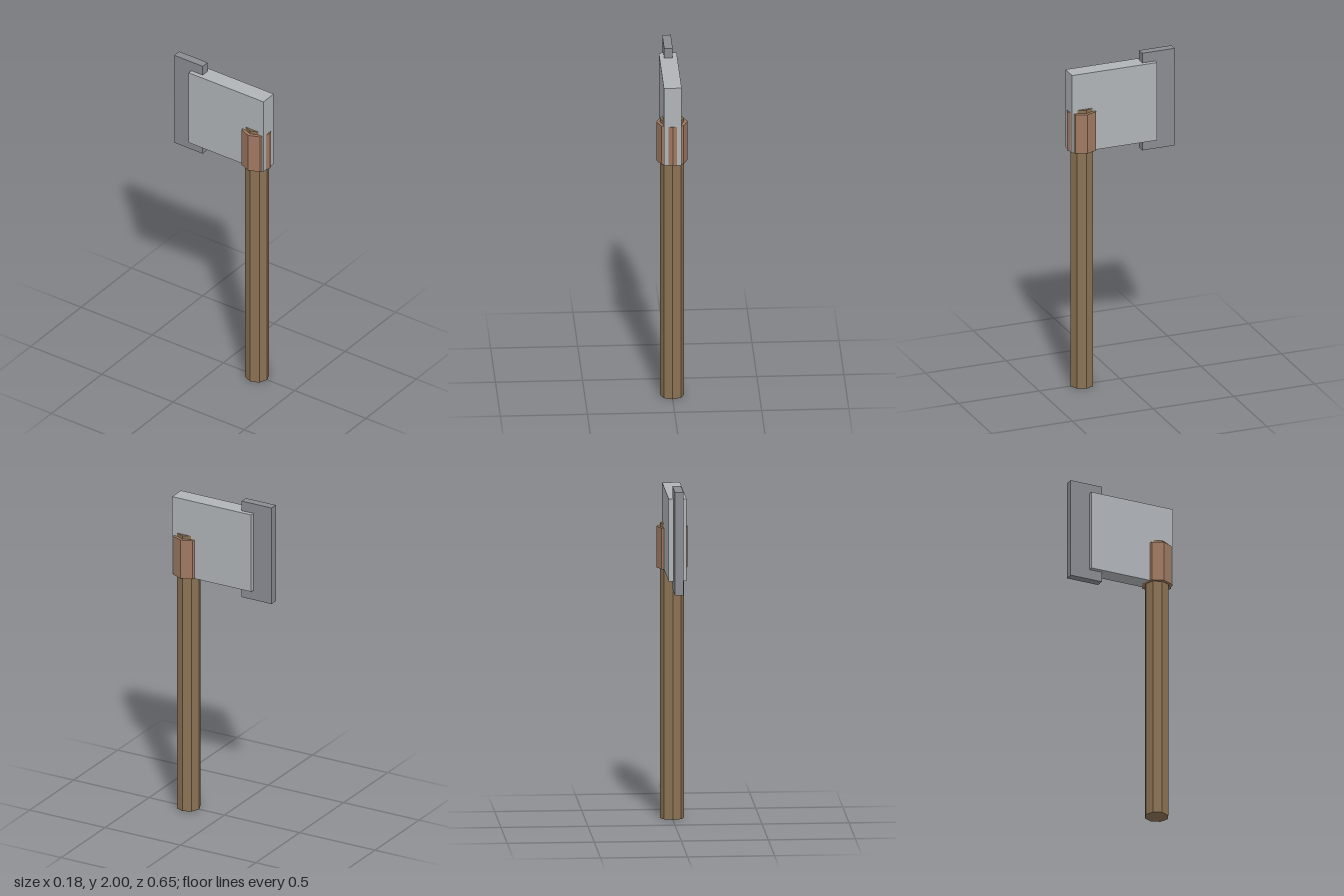
import * as THREE from 'three';

const HANDLE_Z = 0.237; // the handle sits forward of the centre

function addPart(group, name, geometry, color, y0, y1, z) {
  const material = new THREE.MeshStandardMaterial({ color, flatShading: true });
  const mesh = new THREE.Mesh(geometry, material);
  mesh.name = name;
  mesh.position.set(0, (y0 + y1) / 2, z);
  group.add(mesh);
}

// Eight-sided upright post
function addPost(group, name, radius, y0, y1, color) {
  addPart(group, name, new THREE.CylinderGeometry(radius, radius, y1 - y0, 8), color, y0, y1, HANDLE_Z);
}

// Slab given by its thickness and its y and z ranges
function addSlab(group, name, width, y0, y1, z0, z1, color) {
  addPart(group, name, new THREE.BoxGeometry(width, y1 - y0, z1 - z0), color, y0, y1, (z0 + z1) / 2);
}

export function createModel() {
  const axe = new THREE.Group();
  axe.name = 'axe';

  // Wooden handle and the collar that binds the head to it
  addPost(axe, 'handle', 0.07, 0, 1.72, 0x8b7355);
  addPost(axe, 'collar', 0.09, 1.46, 1.7, 0xa07a62);

  // Thick metal head with a thinner, taller cutting edge at the back
  addSlab(axe, 'head', 0.102, 1.46, 1.94, -0.208, 0.317, 0xb0b4b8);
  addSlab(axe, 'cuttingEdge', 0.049, 1.4, 2, -0.328, -0.128, 0x8a8c92);

  return axe;
}
